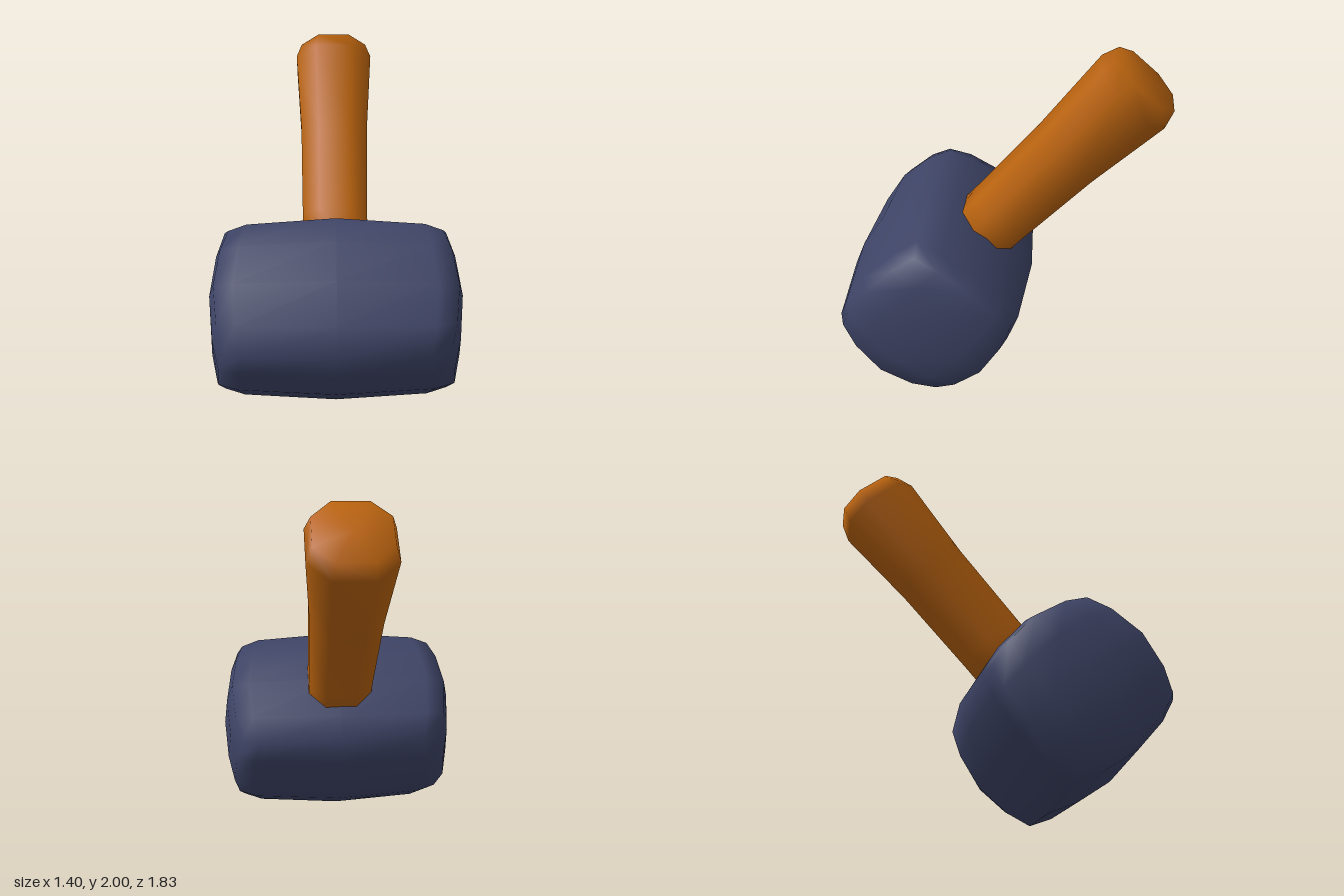
import * as THREE from 'three';
import { mergeVertices } from 'three/addons/utils/BufferGeometryUtils.js';

// Weld shared corners so the surface shades smoothly.
function smooth(geometry) {
  geometry.deleteAttribute('uv');
  geometry.deleteAttribute('normal');
  const welded = mergeVertices(geometry, 1e-4);
  welded.computeVertexNormals();
  return welded;
}

// Bulging block: a 4x4x4 grid box whose faces sink towards their edges.
function headGeometry() {
  const geometry = new THREE.BoxGeometry(4, 4, 4, 4, 4, 4);
  const length = [0, 0.58, 0.70];       // grid step -> x
  const width = [0, 0.285, 0.472];      // grid step -> y and z
  const endDrop = [1, 0.965, 0.91];     // end faces, by y and z step
  const sideDrop = [1, 0.936, 0.826];   // side faces, by the other cross step
  const taper = [1, 0.938, 0.871];      // side faces, by x step
  const p = geometry.attributes.position;
  for (let i = 0; i < p.count; i++) {
    const c = [p.getX(i), p.getY(i), p.getZ(i)].map(Math.round);
    const [a, b, d] = c.map(Math.abs);
    p.setXYZ(i,
      Math.sign(c[0]) * length[a] * endDrop[b] * endDrop[d],
      Math.sign(c[1]) * width[b] * sideDrop[d] * taper[a],
      Math.sign(c[2]) * width[d] * sideDrop[b] * taper[a]);
  }
  return smooth(geometry);
}

// Eight-sided grip that flares towards its chamfered end.
function handleGeometry() {
  const profile = [[0, 0.3], [0.185, 0.3], [0.185, 0.55], [0.197, 1.12],
    [0.23, 1.633], [0.2, 1.732], [0, 1.732]].map(([r, y]) => new THREE.Vector2(r, y));
  const geometry = new THREE.LatheGeometry(profile, 8, Math.PI / 8);
  const p = geometry.attributes.position;
  // Square up the octagon: wide flats, narrow corners
  for (let i = 0; i < p.count; i++) {
    const x = p.getX(i), z = p.getZ(i), r = Math.hypot(x, z);
    const snap = (v) => Math.sign(v) * r * (Math.abs(v) > 0.7 * r ? 1 : 0.48);
    if (r > 1e-4) p.setXYZ(i, snap(x), p.getY(i), snap(z));
    else p.setXYZ(i, 0, p.getY(i), 0);
  }
  return smooth(geometry);
}

export function createModel() {
  const metal = new THREE.MeshStandardMaterial({ color: 0x3e4466 });
  metal.name = 'blue grey metal';
  const wood = new THREE.MeshStandardMaterial({ color: 0xb8620e });
  wood.name = 'orange wood';

  const head = new THREE.Mesh(headGeometry(), metal);
  head.name = 'hammerHead';
  const handle = new THREE.Mesh(handleGeometry(), wood);
  handle.name = 'handle';

  // The whole hammer leans backwards
  const hammer = new THREE.Group();
  hammer.name = 'hammer';
  hammer.add(head, handle);
  hammer.rotation.x = THREE.MathUtils.degToRad(-40.5);
  hammer.position.set(0, 0.555, 0.365);

  const model = new THREE.Group();
  model.name = 'leaningHammer';
  model.add(hammer);
  return model;
}
